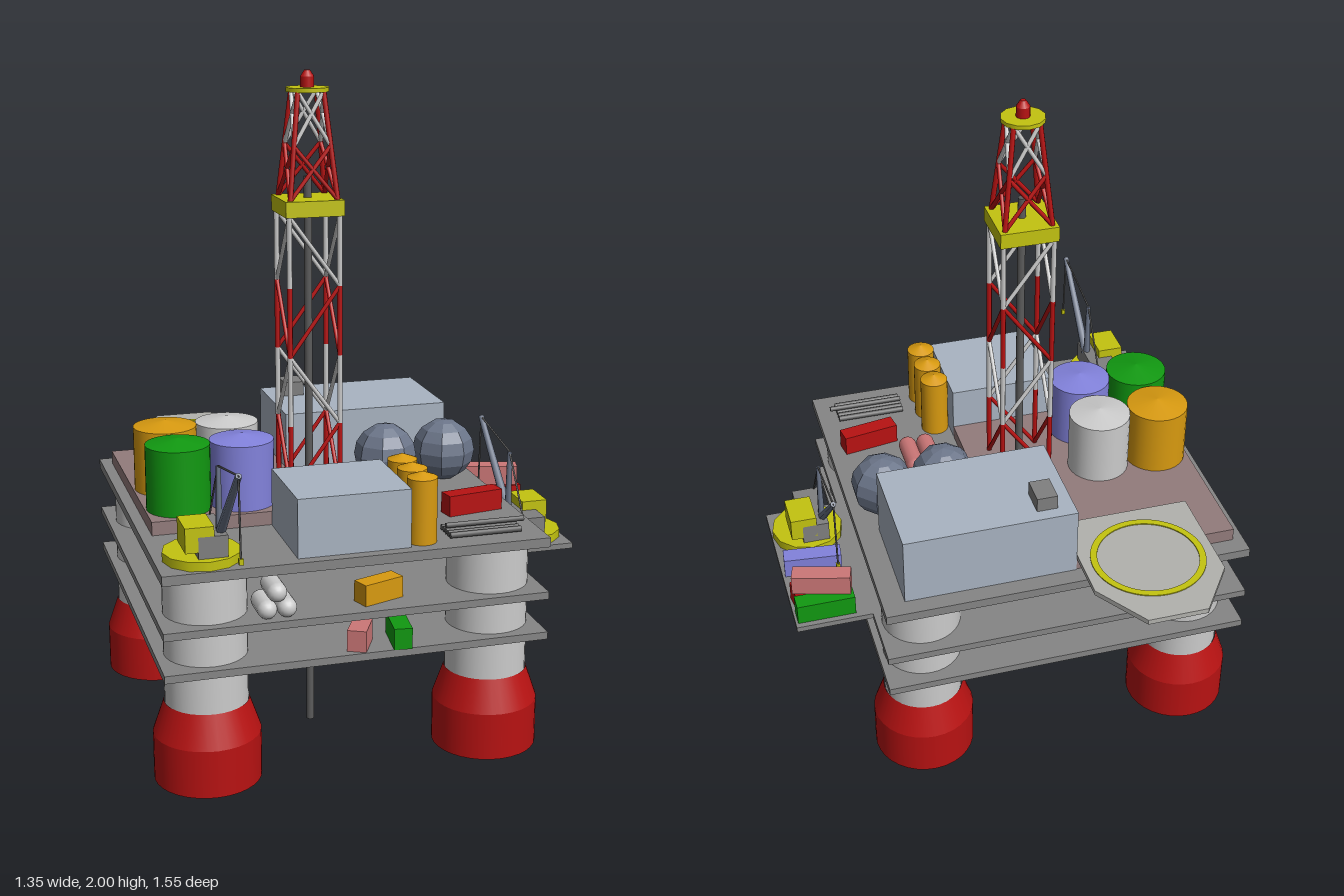
import * as THREE from 'three';

const COLORS = {
  grey: 0xcccccc, deck: 0x868686, red: 0xb81212, yellow: 0xc4c410, orange: 0xd89a10, green: 0x119911,
  violet: 0x8282dc, house: 0xa9b4c2, steel: 0x6c768a, pink: 0xcc7777, floor: 0x937c7c, pad: 0xb2b2ae, dark: 0x5c5c5c, machine: 0x808080,
};
const mats = {};
for (const k in COLORS) mats[k] = new THREE.MeshStandardMaterial({ color: COLORS[k] });
const flatSteel = new THREE.MeshStandardMaterial({ color: COLORS.steel, flatShading: true });

const V = (x, y, z) => new THREE.Vector3(x, y, z);

function add(parent, name, geo, color, x = 0, y = 0, z = 0, ry = 0) {
  const m = new THREE.Mesh(geo, color.isMaterial ? color : mats[color]);
  m.name = name;
  m.position.set(x, y, z);
  m.rotation.y = ry;
  parent.add(m);
  return m;
}

// box given by its extents
function block(parent, name, color, x0, x1, y0, y1, z0, z1) {
  return add(parent, name, new THREE.BoxGeometry(x1 - x0, y1 - y0, z1 - z0), color,
    (x0 + x1) / 2, (y0 + y1) / 2, (z0 + z1) / 2);
}

// round bar between two points
function strut(parent, name, color, a, b, r, r2 = r, sides = 8) {
  const d = b.clone().sub(a);
  const m = add(parent, name, new THREE.CylinderGeometry(r2, r, d.length(), sides), color);
  m.position.copy(a).add(b).multiplyScalar(0.5);
  m.quaternion.setFromUnitVectors(V(0, 1, 0), d.normalize());
  return m;
}

// upright tank with a shallow conical roof
function tank(parent, name, color, x, z, r, y0, y1) {
  const h = y1 - y0;
  add(parent, name, new THREE.CylinderGeometry(r, r, h, 28), color, x, y0 + h / 2, z);
  add(parent, name + 'Roof', new THREE.ConeGeometry(r, 0.017, 28), color, x, y1 + 0.0085, z);
}

// pressure bottle lying along z
function bottle(parent, name, color, x, y, z, r, length) {
  add(parent, name, new THREE.CapsuleGeometry(r, length - 2 * r, 6, 14), color, x, y, z).rotation.x = Math.PI / 2;
}

function crate(parent, color, x, y, z, ry, w = 0.175, d = 0.053) {
  add(parent, 'container', new THREE.BoxGeometry(w, 0.062, d), color, x, y + 0.031, z, ry);
}

// pedestal crane with its boom towards +z
function crane(x, y, z, ry) {
  const g = new THREE.Group();
  g.name = 'crane';
  add(g, 'turntable', new THREE.CylinderGeometry(0.11, 0.11, 0.026, 12), 'yellow', 0, 0.013, 0);
  block(g, 'machineHouse', 'machine', -0.025, 0.057, 0.026, 0.088, -0.105, 0.082);
  block(g, 'cab', 'yellow', -0.061, 0.019, 0.045, 0.116, -0.03, 0.082);
  const bx = 0.045, tip = V(bx, 0.312, 0.272), head = V(bx, 0.265, 0.023);
  strut(g, 'boom', 'steel', V(bx, 0.075, 0.03), tip, 0.014, 0.009, 6);
  strut(g, 'mast', 'steel', V(bx, 0.08, 0.023), head, 0.011, 0.007, 6);
  strut(g, 'backStay', 'dark', head, V(bx, 0.088, -0.1), 0.003, 0.003, 5);
  strut(g, 'boomStay', 'dark', head, tip, 0.003, 0.003, 5);
  strut(g, 'hoistCable', 'dark', tip, V(bx, 0.09, 0.285), 0.003, 0.003, 5);
  block(g, 'hook', 'yellow', bx - 0.006, bx + 0.006, 0.078, 0.094, 0.279, 0.291);
  g.position.set(x, y, z);
  g.rotation.y = ry;
  return g;
}

// one storey of a square lattice tower, half widths w0 and w1
function storey(g, y0, y1, w0, w1, legColor, braceColor, dirs, r) {
  for (const sx of [-1, 1]) for (const sz of [-1, 1])
    strut(g, 'towerLeg', legColor, V(sx * w0, y0, sz * w0), V(sx * w1, y1, sz * w1), r);
  for (const d of dirs) for (const s of [-1, 1]) {
    strut(g, 'towerBrace', braceColor, V(d * w0, y0, s * w0), V(-d * w1, y1, s * w1), r * 0.8);
    strut(g, 'towerBrace', braceColor, V(s * w0, y0, -d * w0), V(s * w1, y1, d * w1), r * 0.8);
  }
}

function derrick() {
  const g = new THREE.Group();
  g.name = 'derrick';
  for (let i = 0; i < 4; i++) {
    const c = i % 2 ? 'grey' : 'red';
    storey(g, 0.77 + i * 0.206, 0.976 + i * 0.206, 0.075, 0.075, c, c, [i % 2 ? 1 : -1], 0.008);
  }
  block(g, 'towerPlatform', 'yellow', -0.087, 0.087, 1.592, 1.638, -0.087, 0.087);
  storey(g, 1.638, 1.79, 0.07, 0.054, 'red', 'red', [-1, 1], 0.008);
  storey(g, 1.79, 1.942, 0.054, 0.038, 'red', 'grey', [-1, 1], 0.008);
  add(g, 'crownPlatform', new THREE.CylinderGeometry(0.064, 0.064, 0.012, 12), 'yellow', 0, 1.946, 0);
  add(g, 'beacon', new THREE.CylinderGeometry(0.02, 0.02, 0.03, 14), 'red', 0, 1.967, 0);
  add(g, 'beaconCap', new THREE.CylinderGeometry(0.008, 0.02, 0.018, 14), 'red', 0, 1.991, 0);
  strut(g, 'drillString', 'dark', V(0, 0, 0), V(0, 1.7, 0), 0.012, 0.012, 12);
  g.position.set(-0.113, 0, 0.05);
  return g;
}

function helideck() {
  const g = new THREE.Group();
  g.name = 'helideck';
  const outline = [[-0.534, 0.307], [-0.14, 0.307], [-0.14, 0.62], [-0.245, 0.777], [-0.425, 0.777], [-0.534, 0.625]];
  const shape = new THREE.Shape(outline.map(([x, y]) => new THREE.Vector2(x, y)));
  const pad = add(g, 'landingPad', new THREE.ExtrudeGeometry(shape, { depth: 0.016, bevelEnabled: false }), 'pad', 0, 0.77, 0);
  pad.rotation.x = -Math.PI / 2;
  // painted landing circle
  const ring = new THREE.Shape().absarc(0, 0, 0.169, 0, Math.PI * 2);
  ring.holes.push(new THREE.Path().absarc(0, 0, 0.149, 0, Math.PI * 2, true));
  const circle = add(g, 'landingCircle',
    new THREE.ExtrudeGeometry(ring, { depth: 0.003, bevelEnabled: false, curveSegments: 32 }), 'yellow', -0.336, 0.786, -0.523);
  circle.rotation.x = -Math.PI / 2;
  return g;
}

export function createModel() {
  const model = new THREE.Group();
  model.name = 'offshorePlatform';

  // three stacked decks and the side platform
  for (const [y0, y1] of [[0.702, 0.73], [0.545, 0.567], [0.423, 0.445]])
    block(model, 'deck', 'deck', -0.666, 0.443, y0, y1, -0.51, 0.6);
  block(model, 'sidePlatform', 'deck', 0.443, 0.673, 0.55, 0.567, -0.307, 0.24);
  block(model, 'drillFloor', 'floor', -0.633, 0.04, 0.73, 0.77, -0.455, 0.272);

  // columns with flared pontoon feet
  const foot = [[0, 0.07], [0.153, 0.07], [0.153, 0.07], [0.153, 0.21], [0.153, 0.21], [0.12, 0.305]]
    .map(([r, y]) => new THREE.Vector2(r, y));
  for (const x of [-0.523, 0.308]) for (const z of [-0.355, 0.455]) {
    add(model, 'column', new THREE.CylinderGeometry(0.118, 0.118, 0.41, 32), 'grey', x, 0.505, z);
    add(model, 'columnFoot', new THREE.LatheGeometry(foot, 32), 'red', x, 0, z);
  }

  // deck houses
  block(model, 'quarters', 'house', -0.14, 0.377, 0.73, 0.943, -0.458, -0.12);
  block(model, 'roofUnit', 'machine', -0.089, -0.027, 0.943, 0.987, -0.42, -0.335);
  block(model, 'controlHouse', 'house', -0.285, 0.04, 0.73, 0.9, 0.275, 0.567);
  model.add(helideck(), derrick());

  // storage tanks
  tank(model, 'storageTank', 'orange', -0.534, -0.035, 0.094, 0.77, 0.963);
  tank(model, 'storageTank', 'grey', -0.346, -0.035, 0.094, 0.77, 0.963);
  tank(model, 'storageTank', 'green', -0.534, 0.163, 0.094, 0.77, 0.963);
  tank(model, 'storageTank', 'violet', -0.346, 0.163, 0.094, 0.77, 0.963);
  for (const z of [0.344, 0.433, 0.522]) tank(model, 'mudTank', 'orange', 0.085, z, 0.043, 0.73, 0.918);
  for (const x of [0.15, 0.341])
    add(model, 'gasSphere', new THREE.SphereGeometry(0.096, 8, 8), flatSteel, x, 0.822, -0.022, Math.PI / 8);
  for (const x of [0.146, 0.203]) bottle(model, 'gasBottle', 'pink', x, 0.758, 0.178, 0.028, 0.162);

  // pipe rack
  for (let i = 0; i < 5; i++)
    strut(model, 'rackPipe', 'dark', V(0.167, 0.74, 0.456 + i * 0.0185), V(0.38, 0.74, 0.456 + i * 0.0185), 0.009);
  strut(model, 'topPipe', 'dark', V(0.167, 0.757, 0.493), V(0.402, 0.757, 0.493), 0.008);

  // cranes
  model.add(crane(-0.534, 0.73, 0.485, 0), crane(0.56, 0.567, 0.122, Math.PI));

  // cargo on the upper deck and side platform
  crate(model, 'red', 0.312, 0.73, 0.312, 0.165);
  crate(model, 'green', 0.578, 0.567, -0.263, 0);
  crate(model, 'red', 0.577, 0.567, -0.187, 0.12);
  crate(model, 'pink', 0.577, 0.629, -0.223, -0.27);
  crate(model, 'violet', 0.576, 0.567, -0.055, -0.1);

  // cargo on the middle deck
  for (const [x, y] of [[-0.373, 0.594], [-0.317, 0.594], [-0.345, 0.641]])
    bottle(model, 'gasBottle', 'grey', x, y, 0.53, 0.028, 0.13);
  crate(model, 'orange', -0.038, 0.567, 0.515, 0.35, 0.13, 0.055);

  // cargo on the lower deck
  crate(model, 'pink', -0.1, 0.445, 0.54, 1.1, 0.1, 0.055);
  crate(model, 'green', 0.015, 0.445, 0.54, 1.45, 0.13, 0.052);
  crate(model, 'violet', -0.02, 0.445, -0.168, Math.PI / 2 - 0.08, 0.135);
  bottle(model, 'gasBottle', 'pink', -0.6, 0.473, -0.11, 0.028, 0.13);
  return model;
}
